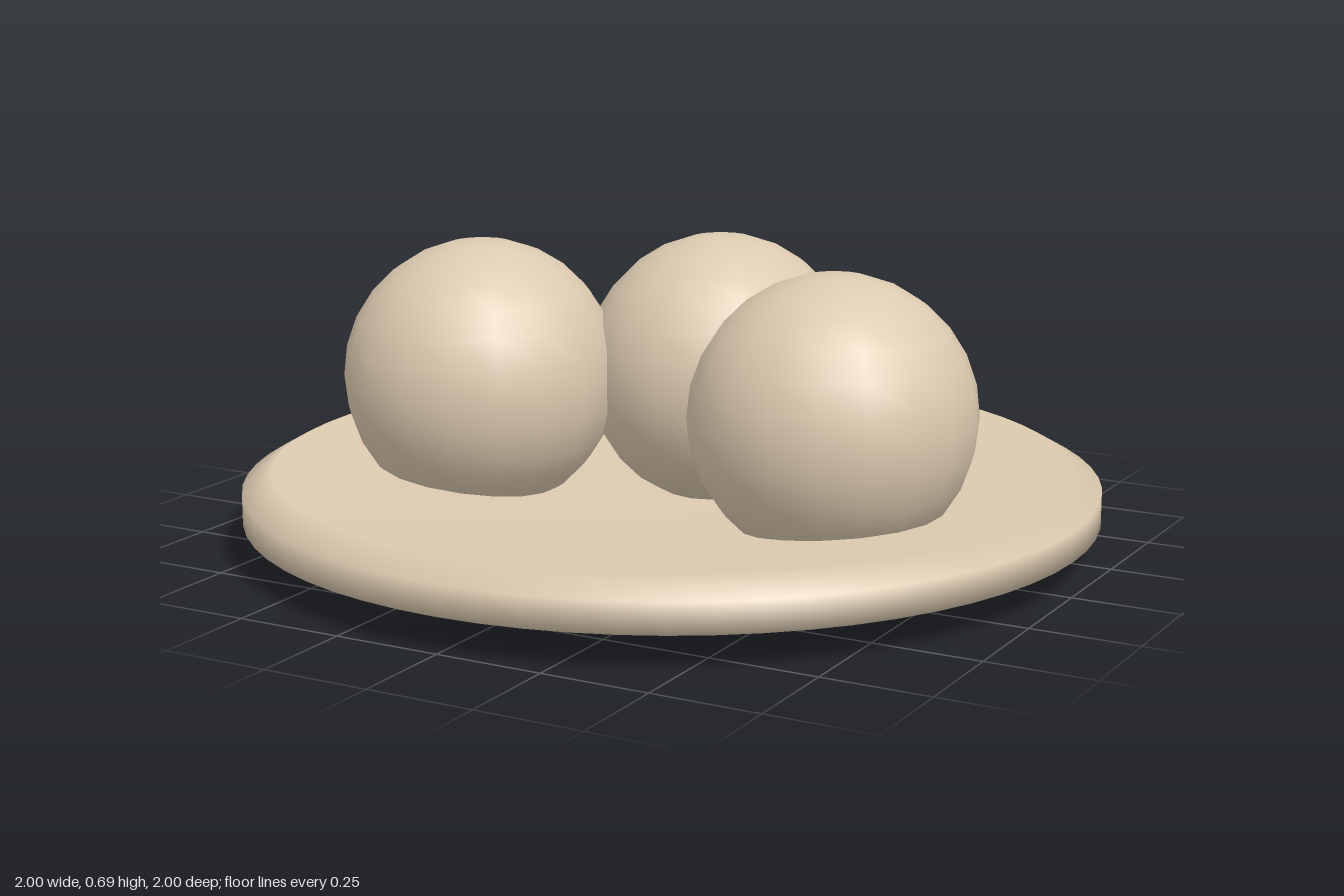
import * as THREE from 'three';
import { mergeVertices } from 'three/addons/utils/BufferGeometryUtils.js';

export function createModel() {
  const model = new THREE.Group();
  const cream = new THREE.MeshStandardMaterial({ color: 0xdccab0 });
  cream.name = 'cream';

  // Shallow dished plate: underside, outer rim, bevel, then the dish down to the centre
  const profile = [
    [0, 0], [0.71, 0], [1, 0.08], [1, 0.15], [0.93, 0.19], [0, 0.06],
  ].map(([r, y]) => new THREE.Vector2(r, y));
  let plateGeometry = new THREE.LatheGeometry(profile, 64);
  // Weld and shade by face area so the broad surfaces blend gently into the rim
  plateGeometry.deleteAttribute('normal');
  plateGeometry.deleteAttribute('uv');
  plateGeometry = mergeVertices(plateGeometry, 1e-4);
  plateGeometry.computeVertexNormals();
  const plate = new THREE.Mesh(plateGeometry, cream);
  plate.name = 'plate';
  model.add(plate);

  // Three balls resting in the dish
  const ballGeometry = new THREE.SphereGeometry(0.325, 18, 14);
  ballGeometry.rotateY(Math.PI / 2);
  ballGeometry.scale(1, 1, 1.03);
  const balls = [
    ['leftBall', 0.463, 0.097],
    ['rightBall', -0.463, 0.097],
    ['backBall', 0, -0.24],
  ];
  for (const [name, x, z] of balls) {
    const ball = new THREE.Mesh(ballGeometry, cream);
    ball.name = name;
    ball.position.set(x, 0.365, z);
    model.add(ball);
  }

  return model;
}
